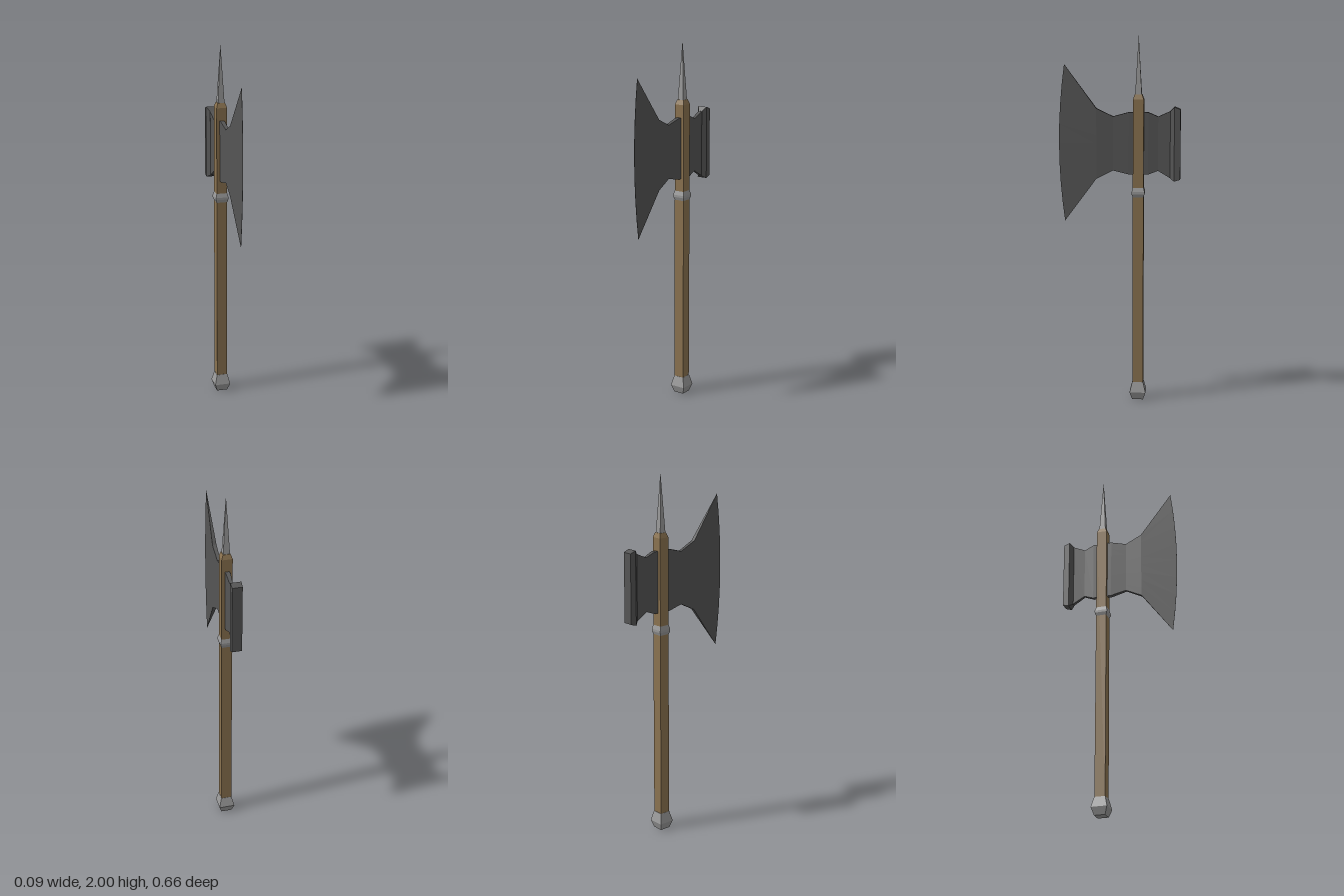
import * as THREE from 'three';

const wood = new THREE.MeshStandardMaterial({ color: 0x8b7350, flatShading: true });
const steel = new THREE.MeshStandardMaterial({ color: 0x999999, flatShading: true });
const darkSteel = new THREE.MeshStandardMaterial({ color: 0x555555, flatShading: true });
const SHAFT_Z = -0.102;

// Square-section part on the shaft axis from [halfWidth, y] pairs, bottom to top
function squarePart(name, profile, material) {
  const points = profile.map(([h, y]) => new THREE.Vector2(h * Math.SQRT2, y));
  const mesh = new THREE.Mesh(new THREE.LatheGeometry(points, 4, Math.PI / 4), material);
  mesh.name = name;
  mesh.position.z = SHAFT_Z;
  return mesh;
}

// Slab lofted along z from [z, yLow, yHigh, halfThickness, bulge] sections, back to front;
// bulge pushes the middle of a section forward in a curve
function loft(name, sections, rows) {
  const positions = [], index = [], ring = 2 * (rows + 1);
  for (const [z, low, high, half, bulge = 0] of sections) {
    for (let i = 0; i < ring; i++) {
      const rising = i <= rows;
      const t = (rising ? i : ring - 1 - i) / rows;
      const bend = bulge * (1 - (2 * t - 1) ** 2);
      positions.push(rising ? half : -half, low + (high - low) * t, z + bend);
    }
  }
  for (let s = 0; s < sections.length - 1; s++) {
    for (let i = 0; i < ring; i++) {
      const a = s * ring + i, b = s * ring + (i + 1) % ring;
      index.push(a, b, b + ring, a, b + ring, a + ring);
    }
  }
  // End caps
  const last = (sections.length - 1) * ring;
  for (let i = 0; i < rows; i++) {
    const j = ring - 1 - i;
    index.push(i, j, j - 1, i, j - 1, i + 1);
    index.push(last + i, last + j - 1, last + j, last + i, last + i + 1, last + j - 1);
  }
  const geometry = new THREE.BufferGeometry();
  geometry.setAttribute('position', new THREE.Float32BufferAttribute(positions, 3));
  geometry.setIndex(index);
  geometry.computeVertexNormals();
  const mesh = new THREE.Mesh(geometry, darkSteel);
  mesh.name = name;
  return mesh;
}

export function createModel() {
  const group = new THREE.Group();
  group.name = 'battleAxe';

  // Handle with its fittings
  group.add(
    squarePart('shaft', [[0, 0.08], [0.029, 0.08], [0.029, 1.66], [0.02, 1.685], [0, 1.685]], wood),
    squarePart('pommel', [[0, 0], [0.03, 0], [0.044, 0.042], [0.03, 0.098], [0, 0.098]], steel),
    squarePart('collar', [[0.028, 1.13], [0.035, 1.15], [0.035, 1.162], [0.028, 1.188]], steel),
    squarePart('topSpike', [[0, 1.68], [0.018, 1.68], [0, 2]], steel)
  );

  // Axe blade, thinning to a curved cutting edge
  group.add(loft('blade', [
    [-0.102, 1.255, 1.59, 0.012],
    [-0.05, 1.255, 1.59, 0.012],
    [0.035, 1.275, 1.567, 0.0085],
    [0.125, 1.23, 1.61, 0.011],
    [0.298, 0.997, 1.845, 0.0006, 0.03]
  ], 8));

  // Neck and hammer head at the back
  group.add(loft('hammerNeck', [
    [-0.275, 1.235, 1.597, 0.011],
    [-0.208, 1.275, 1.567, 0.0085],
    [-0.155, 1.255, 1.59, 0.012],
    [-0.102, 1.255, 1.59, 0.012]
  ], 1));
  group.add(loft('hammerHead', [
    [-0.328, 1.23, 1.607, 0.027],
    [-0.295, 1.22, 1.62, 0.0285],
    [-0.273, 1.235, 1.597, 0.011]
  ], 1));

  return group;
}
